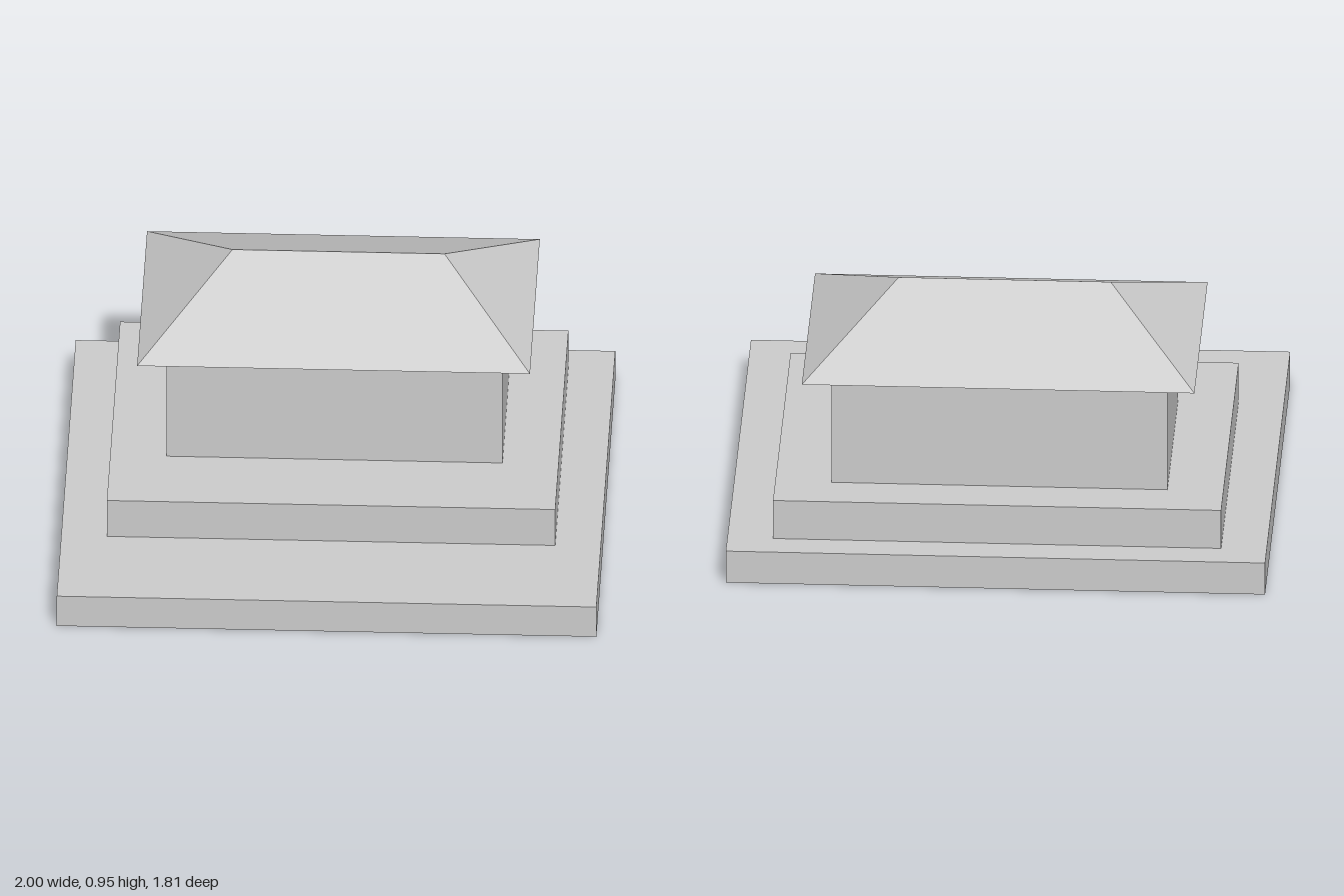
import * as THREE from 'three';

export function createModel() {
  const model = new THREE.Group();
  const stone = new THREE.MeshStandardMaterial({ color: 0xcccccc });
  stone.name = 'pale grey';
  stone.side = THREE.DoubleSide;

  // A block given by its half width, depth range and height range
  function block(name, halfX, z0, z1, y0, y1) {
    const mesh = new THREE.Mesh(new THREE.BoxGeometry(halfX * 2, y1 - y0, z1 - z0), stone);
    mesh.name = name;
    mesh.position.set(0, (y0 + y1) / 2, (z0 + z1) / 2);
    model.add(mesh);
  }

  block('groundSlab', 1, -0.907, 0.907, 0, 0.129);
  block('terrace', 0.831, -0.79, 0.477, 0.129, 0.285);
  block('walls', 0.623, -0.623, 0.155, 0.285, 0.708);

  // Hipped roof: a thin shell, open underneath, just clear of the walls
  const eaveY = 0.727, ridgeY = 0.948, ridgeZ = -0.237;
  const frontLeft = [0.728, eaveY, 0.24], frontRight = [-0.728, eaveY, 0.24];
  const backLeft = [0.728, eaveY, -0.714], backRight = [-0.728, eaveY, -0.714];
  const ridgeLeft = [0.393, ridgeY, ridgeZ], ridgeRight = [-0.393, ridgeY, ridgeZ];
  const corners = [
    frontRight, frontLeft, ridgeLeft, frontRight, ridgeLeft, ridgeRight, // front slope
    backLeft, backRight, ridgeRight, backLeft, ridgeRight, ridgeLeft,    // back slope
    frontLeft, backLeft, ridgeLeft,                                      // left hip
    backRight, frontRight, ridgeRight,                                   // right hip
  ];
  const roofGeometry = new THREE.BufferGeometry();
  roofGeometry.setAttribute('position', new THREE.Float32BufferAttribute(corners.flat(), 3));
  roofGeometry.computeVertexNormals();
  const roof = new THREE.Mesh(roofGeometry, stone);
  roof.name = 'hippedRoof';
  model.add(roof);

  return model;
}
